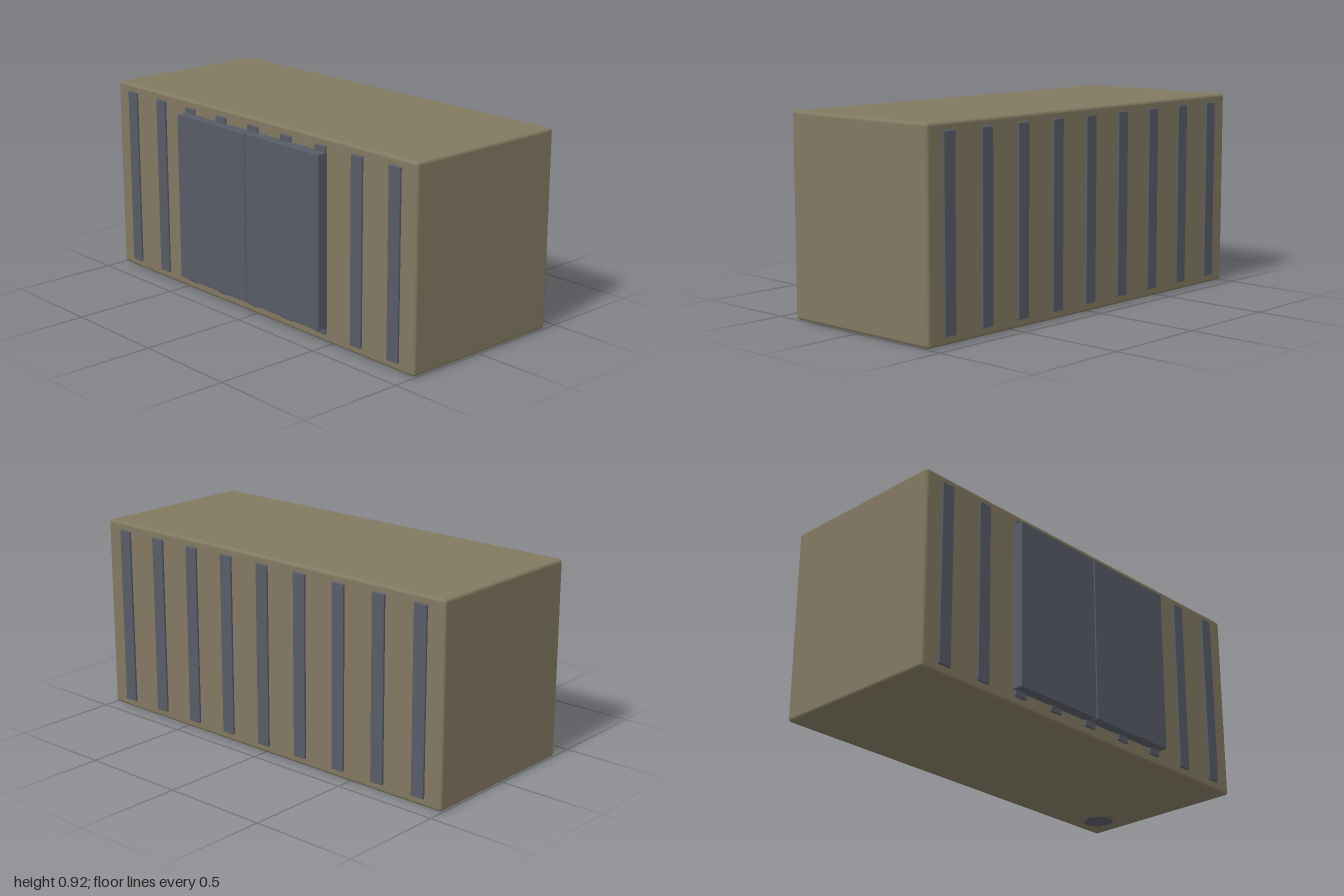
import * as THREE from 'three';
import { RoundedBoxGeometry } from 'three/addons/geometries/RoundedBoxGeometry.js';

export function createModel() {
  const model = new THREE.Group();
  model.name = 'cargoContainer';
  const shell = new THREE.MeshStandardMaterial({ name: 'khaki shell', color: 0x827961 });
  const trim = new THREE.MeshStandardMaterial({ name: 'slate trim', color: 0x585c66 });

  // Softly bevelled box given by its minimum and maximum corners
  function block(name, min, max, radius, material, parent = model) {
    const s = max.map((v, i) => v - min[i]);
    const mesh = new THREE.Mesh(new RoundedBoxGeometry(s[0], s[1], s[2], 2, radius), material);
    mesh.position.set(...max.map((v, i) => (v + min[i]) / 2));
    mesh.name = name;
    parent.add(mesh);
  }

  // Body
  const left = 0.433, right = -0.395, middle = (left + right) / 2;
  block('body', [right, 0, -1], [left, 0.915, 1], 0.015, shell);

  // Nine vertical ribs on each long side
  const ribs = new THREE.Group();
  ribs.name = 'ribs';
  model.add(ribs);
  for (let i = -4; i <= 4; i++) {
    const z = i * 0.22;
    block('leftRib', [left - 0.01, 0.038, z - 0.033], [left + 0.01, 0.88, z + 0.033], 0.004, trim, ribs);
    block('rightRib', [right - 0.01, 0.038, z - 0.033], [right + 0.01, 0.88, z + 0.033], 0.004, trim, ribs);
  }

  // Pair of doors on the right side
  block('rearDoor', [-0.446, 0.067, -0.48], [right + 0.005, 0.852, -0.006], 0.003, trim);
  block('frontDoor', [-0.446, 0.067, -0.002], [right + 0.005, 0.852, 0.476], 0.003, trim);

  // Round feet sunk into the base, the front left one standing just proud of it
  for (const sx of [-1, 1]) {
    for (const sz of [-1, 1]) {
      const foot = new THREE.Mesh(new THREE.CylinderGeometry(0.072, 0.072, 0.02, 24), trim);
      const proud = sx > 0 && sz > 0;
      foot.position.set(middle + sx * 0.277, proud ? 0.009 : 0.011, sz * 0.855);
      foot.name = 'foot';
      model.add(foot);
    }
  }
  return model;
}
